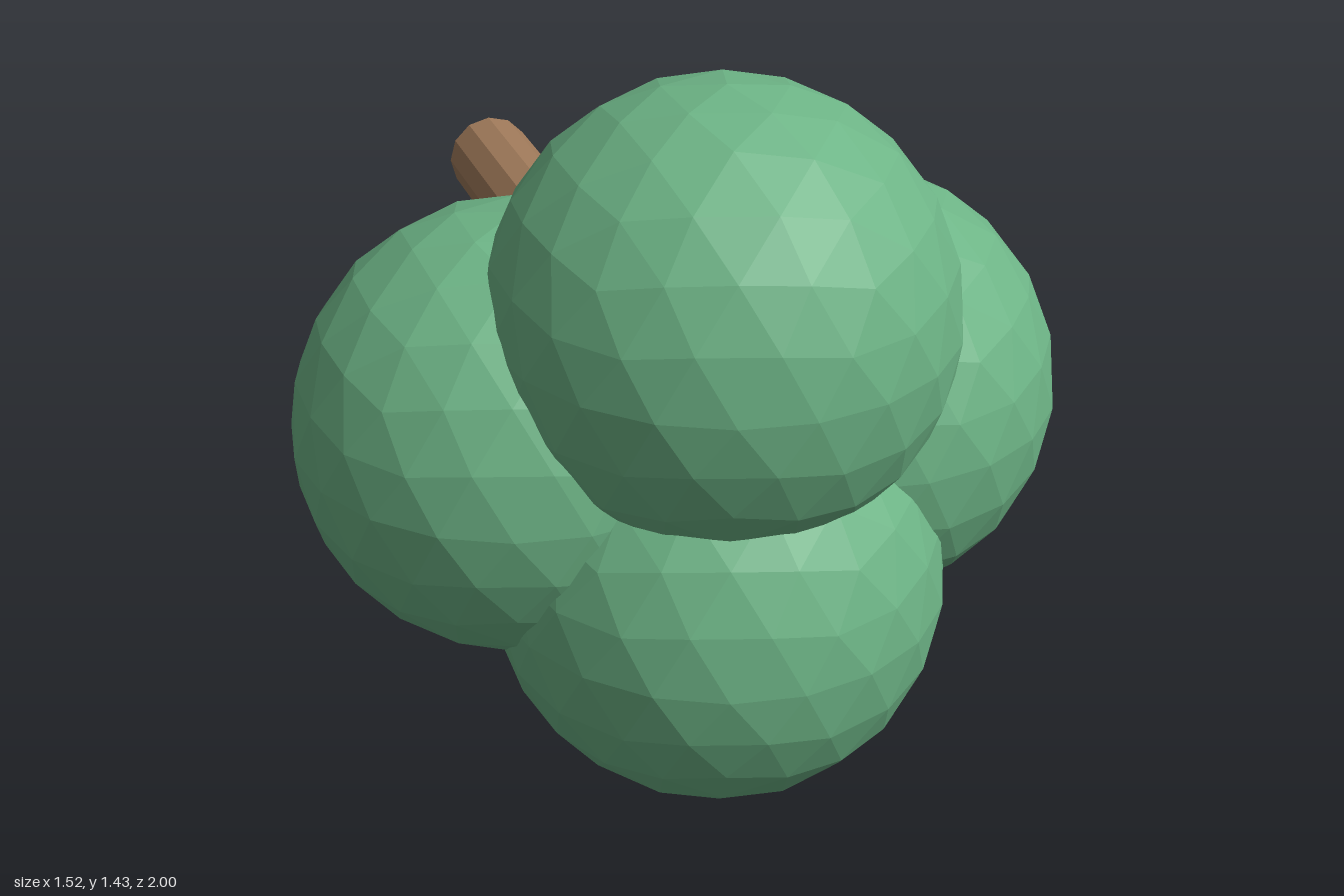
import * as THREE from 'three';

const RADIUS = 0.44;

// Evenly subdivided icosphere with a vertex at each pole
function icosphere(radius, splits) {
  let geo = new THREE.IcosahedronGeometry(radius, 0);
  for (let i = 0; i < splits; i++) {
    const points = Array.from(geo.attributes.position.array);
    const faces = points.slice(0, points.length / 3).map((_, k) => k);
    geo = new THREE.PolyhedronGeometry(points, faces, radius, 1);
  }
  geo.rotateZ(-Math.atan(2 / (1 + Math.sqrt(5))));
  geo.computeVertexNormals();
  return geo;
}

export function createModel() {
  const group = new THREE.Group();
  const leafGreen = new THREE.MeshStandardMaterial({ name: 'leafGreen', color: 0x6db486, flatShading: true });
  const barkBrown = new THREE.MeshStandardMaterial({ name: 'barkBrown', color: 0xa07a5a, flatShading: true });

  // Four overlapping clumps of foliage
  const clump = icosphere(RADIUS, 2);
  const clumps = {
    topFoliage: [0, 0.99, 0.56],
    bottomFoliage: [0, 0.44, 0.56],
    leftFoliage: [0.32, 0.7, 0.36],
    rightFoliage: [-0.32, 0.7, 0.33],
  };
  for (const [name, position] of Object.entries(clumps)) {
    const mesh = new THREE.Mesh(clump, leafGreen);
    mesh.name = name;
    mesh.position.set(...position);
    group.add(mesh);
  }

  // Twelve-sided trunk lying along z, its inner end buried in the foliage
  const backZ = -1, innerZ = 0.35;
  const trunkGeo = new THREE.CylinderGeometry(0.1, 0.1, innerZ - backZ, 12);
  trunkGeo.rotateX(Math.PI / 2);
  const trunk = new THREE.Mesh(trunkGeo, barkBrown);
  trunk.name = 'trunk';
  trunk.position.set(0, 0.7, (innerZ + backZ) / 2);
  group.add(trunk);

  return group;
}
